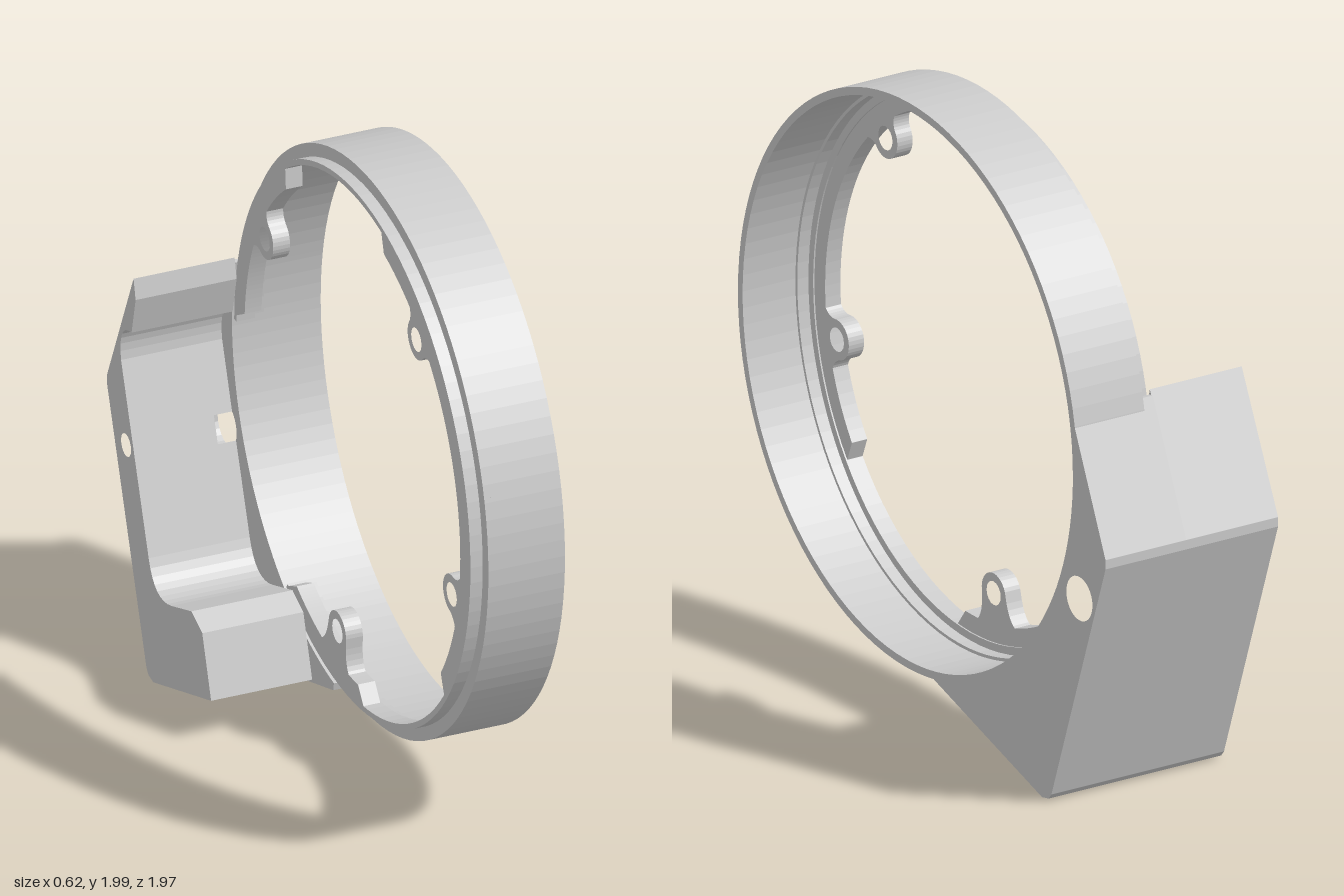
import * as THREE from 'three';

const rad = THREE.MathUtils.degToRad;
const CX = -0.08, CY = 1.09;          // ring centre in the side plane (horizontal = -z, vertical = y)
const HX = 0.84, HY = 0.71;           // screw hole through the box

export function createModel() {
  const model = new THREE.Group();
  const material = new THREE.MeshStandardMaterial({ color: 0xcccccc });

  // Extrude a side-plane shape from x0 to x1
  function slab(name, shape, x0, x1, curveSegments = 24) {
    const geo = new THREE.ExtrudeGeometry(shape, { depth: x1 - x0, bevelEnabled: false, curveSegments });
    geo.translate(0, 0, x0);
    geo.rotateY(Math.PI / 2);
    const mesh = new THREE.Mesh(geo, material);
    mesh.name = name;
    model.add(mesh);
  }

  // Annular sector; taper (degrees) narrows the inner edge at both ends
  function sector(r0, r1, a0, a1, taper = 0) {
    const s = new THREE.Shape();
    s.absarc(CX, CY, r1, rad(a0), rad(a1), false);
    s.absarc(CX, CY, r0, rad(a1 - taper), rad(a0 + taper), true);
    s.closePath();
    return s;
  }

  function hole(shape, x, y, r) {
    const p = new THREE.Path();
    p.absarc(x, y, r, 0, Math.PI * 2, true);
    shape.holes.push(p);
    return shape;
  }

  // Stepped ring, interrupted where the box takes over: [inner r, outer r, x0, x1]
  [
    ['ringRim', 0.885, 0.91, 0.12, 0.31],
    ['ringShoulder', 0.875, 0.91, 0.08, 0.12],
    ['ringStep', 0.85, 0.91, 0.06, 0.08],
    ['ringLip', 0.85, 0.868, 0.02, 0.06],
  ].forEach(([name, r0, r1, x0, x1]) => slab(name, sector(r0, r1, 0, 304), x0, x1, 44));

  // Inner flanges
  [[104, 218], [1, 55], [264, 304]].forEach(([a0, a1]) =>
    slab('innerFlange', sector(0.793, 0.862, a0, a1, 3), 0.02, 0.075, 20));

  // Screw lugs: rounded tip flaring out into the flange
  function lug(x, y) {
    const dx = x - CX, dy = y - CY, d = Math.hypot(dx, dy);
    const ux = dx / d, uy = dy / d;
    const at = (t, r) => [CX + ux * r - uy * t, CY + uy * r + ux * t];
    const base = 0.835, a = Math.atan2(uy, ux), R = 0.064;
    const s = new THREE.Shape();
    s.moveTo(...at(-0.15, base));
    s.lineTo(...at(-0.13, 0.8));
    s.quadraticCurveTo(...at(-0.07, 0.79), ...at(-R, d));
    s.absarc(x, y, R, a - Math.PI / 2, a - Math.PI * 1.5, true);
    s.quadraticCurveTo(...at(0.07, 0.79), ...at(0.13, 0.8));
    s.lineTo(...at(0.15, base));
    s.closePath();
    return hole(s, x, y, 0.038);
  }
  [[-0.55, 1.675], [-0.81, 0.94], [0.03, 0.405], [0.565, 1.47]].forEach(([x, y]) =>
    slab('screwLug', lug(x, y), 0.02, 0.075, 8));

  // C-shaped box profile; the counterbore breaks through the pocket wall when notched
  function boxProfile(notched) {
    const s = new THREE.Shape();
    s.moveTo(0.785, 1.3);
    [[0.98, 0.88], [0.98, 0.85], [0.69, 0.03], [0.675, 0.012], [0.64, 0.005], [0.215, 0.15],
      [0.28, 0.347], [0.36, 0.382], [0.508, 0.328]].forEach(p => s.lineTo(...p));
    s.quadraticCurveTo(0.631, 0.285, 0.674, 0.408);
    if (notched) s.absarc(HX, HY, 0.07, rad(200.2), rad(481.2), false);
    s.lineTo(0.877, 0.98);
    s.quadraticCurveTo(0.9, 1.1, 0.8, 1.11);
    s.lineTo(0.77, 1.235);
    s.closePath();
    return s;
  }
  slab('boxBody', hole(boxProfile(false), HX, HY, 0.037), -0.31, -0.04, 8);
  slab('boxNotchedBody', boxProfile(true), -0.04, 0.02, 8);

  // Solid plate joining box and ring, bored to the ring's inside
  const plate = new THREE.Shape();
  plate.moveTo(0.8, 1.285);
  [[0.98, 0.88], [0.98, 0.85], [0.69, 0.03], [0.675, 0.012], [0.64, 0.005], [0.06, 0.19]]
    .forEach(p => plate.lineTo(...p));
  plate.absarc(CX, CY, 0.885, rad(-81.2), rad(12.6), false);
  plate.closePath();
  slab('boxPlate', hole(plate, HX, HY, 0.07), 0.02, 0.31, 16);

  return model;
}
